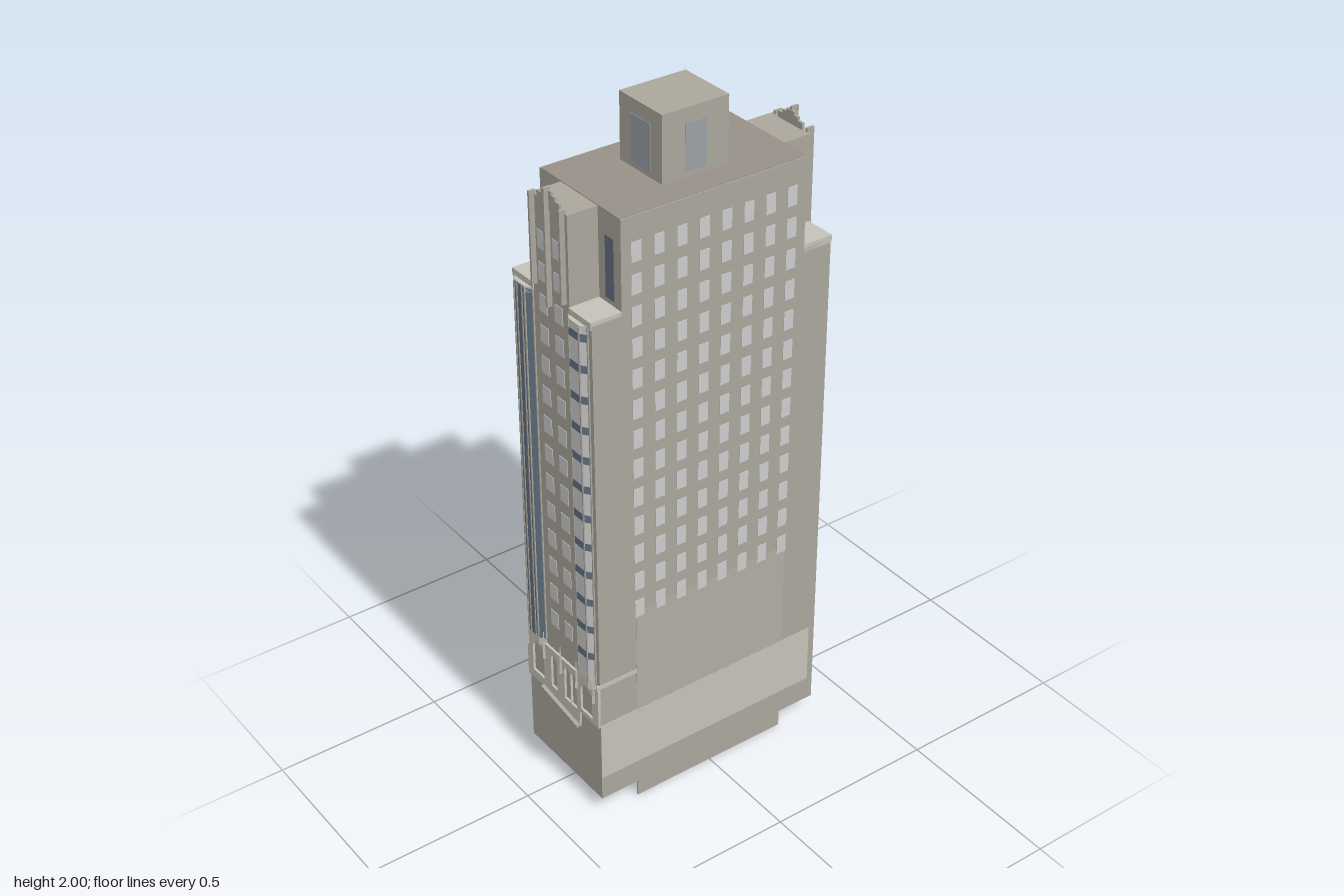
import * as THREE from 'three';
import { mergeGeometries } from 'three/addons/utils/BufferGeometryUtils.js';

const mat = (color) => new THREE.MeshStandardMaterial({ color, flatShading: true, side: THREE.DoubleSide });
const WALL = mat(0xaaa69c), LIGHT = mat(0xc4c1b7), PANE = mat(0xc2c2be), GLASS = mat(0x627080), ROOF = mat(0x969088);

// Body extents and centre line
const X0 = -0.163, X1 = 0.178, Z = 0.37, CX = 0.0075;

export function createModel() {
  const group = new THREE.Group();
  const add = (name, geos, material) => {
    const list = [].concat(geos);
    const mesh = new THREE.Mesh(list.length > 1 ? mergeGeometries(list) : list[0], material);
    mesh.name = name;
    group.add(mesh);
  };
  // Box from its minimum and maximum corners
  const box = (xa, xb, ya, yb, za, zb) =>
    new THREE.BoxGeometry(xb - xa, yb - ya, zb - za).translate((xa + xb) / 2, (ya + yb) / 2, (za + zb) / 2);
  // Upright prism from a plan outline of [x, z] points
  const prism = (plan, y0, y1) =>
    new THREE.ExtrudeGeometry(new THREE.Shape(plan.map(([x, z]) => new THREE.Vector2(x, -z))),
      { depth: y1 - y0, bevelEnabled: false }).rotateX(-Math.PI / 2).translate(0, y0, 0);
  // Thin panes lying on a wall that faces x or z
  const paneZ = (x, y, z, w, h) => box(x - w / 2, x + w / 2, y - h / 2, y + h / 2, z - 0.0015, z + 0.0015);
  const paneX = (x, y, z, w, h) => box(x - 0.0015, x + 0.0015, y - h / 2, y + h / 2, z - w / 2, z + w / 2);

  // Tower shaft, then a crown block with its four corners cut back
  add('towerShaft', box(X0, X1, 0.12, 1.555, -Z, Z), WALL);
  const nx0 = -0.07, nx1 = 0.085, nz = 0.282;
  add('crownBlock', prism([[X0, -nz], [nx0, -nz], [nx0, -Z], [nx1, -Z], [nx1, -nz], [X1, -nz],
    [X1, nz], [nx1, nz], [nx1, Z], [nx0, Z], [nx0, nz], [X0, nz]], 1.555, 1.814), WALL);
  add('roofDeck', box(X0 + 0.004, X1 - 0.004, 1.812, 1.816, -nz, nz), ROOF);

  // Corner shoulder ledges and the panes above them
  const ledges = [], notchPanes = [];
  for (const sz of [-1, 1]) {
    for (const [xa, xb] of [[X0, nx0], [nx1, X1]]) {
      ledges.push(box(xa, xb, 1.545, 1.566, Math.min(sz * nz, sz * 0.373), Math.max(sz * nz, sz * 0.373)));
      notchPanes.push(paneZ((xa + xb) / 2, 1.665, sz * nz, 0.035, 0.17));
    }
  }
  notchPanes.push(paneX(nx1, 1.665, -0.328, 0.035, 0.17), paneX(nx0, 1.665, -0.328, 0.035, 0.17));
  add('shoulderLedges', ledges, LIGHT);
  add('shoulderWindows', notchPanes, GLASS);

  // Penthouse
  add('penthouse', box(-0.08, 0.095, 1.812, 2, -0.1, 0.1), WALL);
  add('penthouseWindows', [
    ...[-0.1, 0.1].map((z) => paneZ(CX, 1.895, z, 0.08, 0.13)),
    ...[-0.08, 0.095].map((x) => paneX(x, 1.895, 0, 0.065, 0.13)),
  ], mat(0x9aa0a6));

  // Window grids
  const step = 0.0888, sideWindows = [], endWindows = [];
  for (let r = 0; r < 15; r++) {
    const y = 1.718 - r * step;
    for (let c = 0; c < 8; c++) {
      const z = -0.238 + c * 0.068;
      if (r < 13) sideWindows.push(paneX(X1, y, z, 0.03, 0.055));
      sideWindows.push(paneX(X0, y, z, 0.03, 0.055));
    }
    if (r > 13) continue;
    for (const x of [-0.028, 0.038]) {
      endWindows.push(paneZ(x, y - 0.018, Z, 0.036, 0.05), paneZ(x, y - 0.018, -Z, 0.036, 0.05));
    }
    if (r > 1) for (const x of [-0.115, 0.13]) endWindows.push(paneZ(x, y - 0.018, -Z, 0.036, 0.05));
  }
  add('sideWindows', sideWindows, PANE);
  add('endWindows', endWindows, PANE);

  // Canted corner bays: two on the front, two on the -x side
  const bayTop = 1.545, bayFoot = 0.45;
  const frontBay = (a, b, out = 0) => [[a - out, 0.368], [a - out, 0.372], [a + 0.018, 0.385 + out],
    [b - 0.018, 0.385 + out], [b + out, 0.372], [b + out, 0.368]];
  const leftBay = frontBay(-0.155, -0.073), rightBay = frontBay(0.083, 0.163);
  const sideBay = [[-0.16, 0.27], [-0.165, 0.27], [-0.178, 0.29], [-0.178, 0.345], [-0.165, 0.366], [-0.16, 0.366]];
  const rearBay = [[-0.16, -0.318], [-0.177, -0.338], [-0.177, -0.36], [-0.16, -0.368]];
  add('glassBays', [leftBay, sideBay, rearBay].map((p) => prism(p, bayFoot, bayTop)), GLASS);
  add('bandedBay', prism(rightBay, bayFoot, bayTop), PANE);
  const bands = [];
  for (let r = 0; r < 12; r++) {
    const y = 1.505 - r * step;
    bands.push(prism(frontBay(0.083, 0.163, 0.001), y, y + 0.022));
  }
  add('bayFloorBands', bands, GLASS);
  add('bayCaps', [leftBay, rightBay, sideBay].flatMap((p) =>
    [prism(p, bayTop - 0.012, bayTop + 0.004), prism(p, bayFoot - 0.025, bayFoot + 0.005)]), LIGHT);
  // Mullions on the bay corners
  const bar = ([x, z]) => box(x - 0.002, x + 0.002, bayFoot, bayTop, z - 0.002, z + 0.002);
  add('bayMullions', [leftBay, rightBay, sideBay].flatMap((p) => p.slice(1, 5).map(bar))
    .concat([-0.125, -0.103].map((x) => bar([x, 0.385]))), WALL);
  add('bayCorbel', prism(sideBay.map(([x, z]) => [-0.16 + (x + 0.16) * 0.7, z]), 0.39, bayFoot), WALL);

  // Vertical fins and stepped crests on both ends
  const fins = [], crests = [];
  for (const s of [-1, 1]) {
    [-0.057, CX, 0.071].forEach((x, i) => {
      const y0 = s < 0 ? 0.29 : i === 1 ? 1.535 : 1.57;
      const za = s * 0.366, zb = s * (s < 0 ? 0.389 : 0.385);
      fins.push(box(x - 0.0035, x + 0.0035, y0, i === 1 ? 1.86 : 1.825, Math.min(za, zb), Math.max(za, zb)));
    });
    for (const [half, top] of [[0.048, 1.832], [0.03, 1.842], [0.015, 1.851]]) {
      crests.push(box(CX - half, CX + half, 1.8, top, s * 0.368 - 0.004, s * 0.368 + 0.004));
    }
  }
  add('verticalFins', fins, WALL);
  add('steppedCrests', crests, WALL);

  // Arched stone screen on the front
  const screen = new THREE.Shape([[X0, 0.275], [-0.08, 0.28], [0.085, 0.25], [0.09, 0.305], [X1, 0.305],
    [X1, 0.435], [X0, 0.435]].map(([x, y]) => new THREE.Vector2(x, y)));
  const arch = (x, w, y0, y1) => {
    screen.holes.push(new THREE.Path([[x - w, y0], [x + w, y0], [x + w, y1 - w], [x, y1], [x - w, y1 - w]]
      .map(([a, b]) => new THREE.Vector2(a, b))));
  };
  arch(-0.11, 0.027, 0.305, 0.42);
  arch(0.122, 0.027, 0.32, 0.42);
  for (const x of [-0.033, CX + 0.024, 0.062]) arch(x, 0.014, 0.305, 0.42);
  add('archScreen', new THREE.ExtrudeGeometry(screen, { depth: 0.009, bevelEnabled: false }).translate(0, 0, 0.368), LIGHT);
  add('screenPinnacles', [-0.155, -0.073, CX, 0.083, 0.163].map((x) =>
    new THREE.CylinderGeometry(0.001, 0.005, 0.09, 4).translate(x, 0.432, 0.381)), LIGHT);
  add('sideLedge', box(X1 - 0.004, X1 + 0.002, 0.438, 0.45, 0.25, 0.38), LIGHT);

  // Sloping canopy over the entrance
  add('canopy', box(-0.088, 0.088, -0.005, 0.005, 0.366, 0.388).rotateZ(-0.15).translate(0, 0.266, 0), WALL);

  // Pale band and faint centre field on the +x wall
  add('sideBand', box(X1 - 0.002, X1 + 0.0015, 0.125, 0.31, -0.35, 0.37), LIGHT);
  add('sideField', box(X1 - 0.002, X1 + 0.001, 0.31, 0.64, -0.25, 0.25), mat(0xb0aca2));

  // Hollow foot: full skirts on front and +x, legs on back and -x
  const t = 0.005, foot = [
    box(X0, X1, 0.05, 0.12, Z - t, Z),
    box(X1 - t, X1, 0.05, 0.12, -Z, Z),
    box(X1 - t, X1, 0, 0.05, -0.25, 0.25),
    box(X0, X1, 0.1, 0.12, -Z, -Z + t),
    box(X0, X0 + t, 0.1, 0.12, -Z, Z),
  ];
  for (let i = 0; i < 4; i++) {
    const x = X0 + i * 0.102;
    foot.push(box(x, x + 0.035, 0.05, 0.1, -Z, -Z + t));
  }
  for (let i = 0; i < 10; i++) {
    const z = -Z + i * 0.0775;
    foot.push(box(X0, X0 + t, 0.05, 0.1, z, z + 0.0425));
  }
  add('footWalls', foot, WALL);
  add('footSoffit', box(X0 + t, X1 - t, 0.115, 0.121, -Z + t, Z - t), GLASS);

  // Small windows low on the -x wall
  const low = [-0.3, -0.22, -0.19, -0.08, -0.05, 0.06, 0.15, 0.24].map((z) => paneX(X0, 0.19, z, 0.024, 0.05));
  for (const z of [0, 0.06]) low.push(paneX(X0, 0.29, z, 0.024, 0.04));
  add('lowWindows', low, GLASS);

  return group;
}
